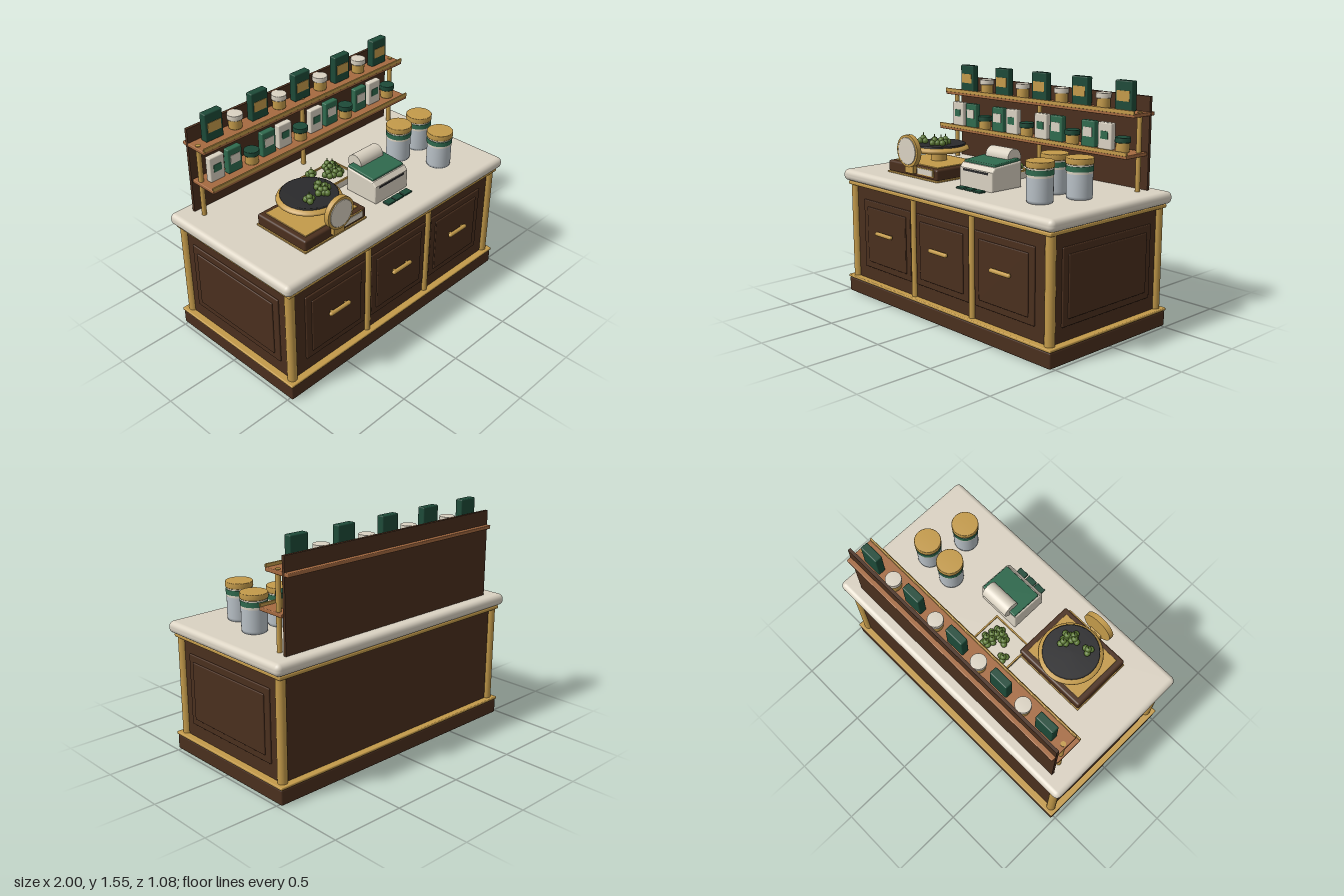
import * as THREE from 'three';
import { RoundedBoxGeometry } from 'three/addons/geometries/RoundedBoxGeometry.js';

const mat = (name, color) => Object.assign(new THREE.MeshStandardMaterial({ color }), { name });
const M = {
  wood: mat('dark wood', 0x4a2f1e),
  copper: mat('shelf wood', 0xa56a40),
  gold: mat('brass', 0xc39a4a),
  cream: mat('cream', 0xdad2c2),
  darkGreen: mat('dark green', 0x1d4a38),
  green: mat('green', 0x2f6a4e),
  silver: mat('silver', 0xb8c0c6),
  black: mat('charcoal', 0x2a2a2c),
  hop: mat('hop green', 0x5d7a34),
};

function add(parent, name, geo, material, x = 0, y = 0, z = 0) {
  const m = new THREE.Mesh(geo, material);
  m.name = name;
  m.position.set(x, y, z);
  parent.add(m);
  return m;
}
// box given by its bottom height, optionally rounded
function box(p, name, m, w, h, d, x, y, z, r = 0) {
  const g = r ? new RoundedBoxGeometry(w, h, d, 3, r) : new THREE.BoxGeometry(w, h, d);
  return add(p, name, g, m, x, y + h / 2, z);
}
// upright cylinder given by its bottom height
const rod = (p, name, m, r, h, x, y, z) =>
  add(p, name, new THREE.CylinderGeometry(r, r, h, 24), m, x, y + h / 2, z);
// turned drum with softly shaded rim
function drum(p, name, m, r, h, x, y, z) {
  const pts = [[0, 0], [r * 0.97, 0], [r, h * 0.1], [r, h * 0.9], [r * 0.96, h], [0, h]];
  return add(p, name, new THREE.LatheGeometry(pts.map(a => new THREE.Vector2(...a)), 32), m, x, y, z);
}
function group(p, name, x = 0, y = 0, z = 0) {
  const g = new THREE.Group();
  g.name = name;
  g.position.set(x, y, z);
  p.add(g);
  return g;
}

// stepped panel facing +z
function panel(p, name, w, h) {
  const g = group(p, name);
  add(g, 'outerPanel', new RoundedBoxGeometry(w, h, 0.024, 2, 0.006), M.wood);
  add(g, 'innerPanel', new RoundedBoxGeometry(w - 0.09, h - 0.09, 0.04, 2, 0.006), M.wood);
  return g;
}

// a small hop cone made of overlapping lobes
function hop(p, x, y, z, turn) {
  const g = group(p, 'hop', x, y, z);
  g.rotation.y = turn;
  const lobe = new THREE.SphereGeometry(0.021, 10, 8);
  for (let i = 0; i < 3; i++) {
    const a = i * Math.PI * 2 / 3;
    add(g, 'lobe', lobe, M.hop, Math.cos(a) * 0.02, 0.02, Math.sin(a) * 0.02);
  }
  add(g, 'lobe', lobe, M.hop, 0, 0.038, 0);
  add(g, 'stem', new THREE.CylinderGeometry(0.003, 0.004, 0.02, 6), M.hop, 0, 0.065, 0);
}

function buildCounter(root) {
  const c = group(root, 'counter');
  box(c, 'plinth', M.wood, 1.96, 0.1, 1.05, 0, 0, 0, 0.01);
  box(c, 'lowerTrim', M.gold, 1.97, 0.018, 1.06, 0, 0.101, 0, 0.006);
  box(c, 'body', M.wood, 1.88, 0.66, 0.97, 0, 0.115, 0);
  box(c, 'upperTrim', M.gold, 1.938, 0.025, 1.035, 0, 0.77, 0, 0.008);
  box(c, 'worktop', M.cream, 2, 0.078, 1.084, 0, 0.797, 0, 0.034);
  for (const x of [-0.932, 0.932])
    for (const z of [-0.478, 0.478]) rod(c, 'cornerPost', M.gold, 0.031, 0.66, x, 0.115, z);
  for (const x of [-0.283, 0.283]) rod(c, 'divider', M.gold, 0.022, 0.66, x, 0.115, 0.485);
  // drawers with bar handles
  for (const x of [-0.566, 0, 0.566]) {
    panel(c, 'drawer', 0.51, 0.475).position.set(x, 0.446, 0.483);
    const h = add(c, 'handle', new THREE.CapsuleGeometry(0.014, 0.15, 6, 16), M.gold, x, 0.477, 0.524);
    h.rotation.z = Math.PI / 2;
    for (const s of [-0.06, 0.06]) box(c, 'handleMount', M.gold, 0.015, 0.015, 0.03, x + s, 0.47, 0.508);
  }
  // end panels
  for (const s of [-1, 1]) {
    const e = panel(c, 'endPanel', 0.785, 0.475);
    e.position.set(s * 0.938, 0.446, 0);
    e.rotation.y = s * Math.PI / 2;
  }
}

function jar(p, lid, x, y, z, h) {
  const g = group(p, 'jar', x, y, z);
  drum(g, 'jarBody', M.gold, 0.043, h * 0.7, 0, 0, 0);
  drum(g, 'jarLid', lid, 0.05, h * 0.36, 0, h * 0.64, 0);
}
function packet(p, m, label, w, h, d, x, y, z, lw, lh, ly) {
  const g = group(p, 'packet', x, y, z);
  box(g, 'packetBody', m, w, h, d, 0, 0, 0, 0.008);
  box(g, 'packetLabel', label, lw, lh, 0.006, 0, ly, d / 2);
}

function buildShelves(root) {
  const s = group(root, 'shelving');
  box(s, 'backBoard', M.wood, 1.745, 0.59, 0.02, 0, 0.868, -0.45);
  for (const [y, z] of [[1.093, -0.33], [1.338, -0.39]]) {
    box(s, 'shelf', M.copper, 1.745, 0.024, 0.2, 0, y, z, 0.005);
    box(s, 'shelfLip', M.gold, 1.745, 0.026, 0.012, 0, y + 0.018, z + 0.096, 0.004);
  }
  for (const x of [-0.848, 0, 0.848]) rod(s, 'shelfPost', M.gold, 0.016, 0.497, x, 0.87, -0.375);
  // upper row: tall tins and pale-lidded jars
  for (let i = 0; i < 9; i++) {
    const x = -0.724 + i * 0.181;
    if (i % 2) jar(s, M.cream, x, 1.362, -0.393, 0.098);
    else packet(s, M.darkGreen, M.gold, 0.134, 0.187, 0.052, x, 1.362, -0.39, 0.1, 0.065, 0.06);
  }
  // lower row: packets and green-lidded jars
  [...'WGJGWJWGJGWJ'].forEach((t, i) => {
    const x = -0.766 + i * 0.1392;
    if (t === 'J') jar(s, M.darkGreen, x, 1.117, -0.323, 0.094);
    else {
      const pale = t === 'W';
      packet(s, pale ? M.cream : M.green, pale ? M.green : M.cream, 0.112, 0.168, 0.045,
        x, 1.117, -0.333, pale ? 0.06 : 0.075, pale ? 0.05 : 0.06, 0.065);
    }
  });
}

function buildScale(root) {
  const g = group(root, 'weighingScale', -0.44, 0.875, 0.16);
  box(g, 'scaleFoot', M.gold, 0.524, 0.012, 0.43, 0, 0, 0, 0.004);
  box(g, 'scaleBase', M.wood, 0.515, 0.075, 0.42, 0, 0.008, 0, 0.014);
  box(g, 'scaleTopTrim', M.gold, 0.44, 0.01, 0.35, 0, 0.08, 0, 0.004);
  rod(g, 'scaleNeck', M.gold, 0.055, 0.08, 0, 0.085, -0.02);
  // weighing pan
  const pan = [[0, 0.14], [0.11, 0.145], [0.19, 0.158], [0.205, 0.168], [0.2, 0.18], [0.17, 0.2], [0, 0.2]];
  add(g, 'pan', new THREE.LatheGeometry(pan.map(a => new THREE.Vector2(...a)), 48), M.gold, 0, 0, -0.02);
  drum(g, 'panLiner', M.black, 0.18, 0.03, 0, 0.175, -0.02);
  [[-0.07, 0.055], [0.075, -0.015], [0.055, 0.06], [0.085, 0.03], [0.035, 0.045]].forEach(([x, z], i) =>
    hop(g, x, 0.2, z, i * 1.3));
  // dial
  const dial = group(g, 'dial', 0, 0.18, 0.232);
  dial.rotation.x = Math.PI / 2;
  add(dial, 'dialCase', new THREE.CylinderGeometry(0.107, 0.107, 0.034, 40), M.gold);
  drum(dial, 'dialFace', M.cream, 0.09, 0.008, 0, 0.014, 0);
  box(g, 'dialBracket', M.gold, 0.09, 0.09, 0.03, 0, 0.03, 0.222, 0.005);
  // display plate
  box(g, 'displayFrame', M.gold, 0.17, 0.05, 0.008, 0.14, 0.03, 0.211);
  box(g, 'displayPlate', M.cream, 0.155, 0.038, 0.008, 0.14, 0.036, 0.214);
}

function buildTray(root) {
  const g = group(root, 'hopTray', -0.055, 0.873, -0.085);
  box(g, 'trayBody', M.cream, 0.29, 0.05, 0.21, 0, 0, 0, 0.008);
  for (const s of [-1, 1]) {
    box(g, 'trayRim', M.gold, 0.302, 0.012, 0.01, 0, 0.048, s * 0.104);
    box(g, 'trayRim', M.gold, 0.01, 0.012, 0.21, s * 0.146, 0.048, 0);
  }
  [[-0.085, -0.07], [0.065, -0.075], [0.085, -0.05], [0.05, -0.035], [0.075, -0.01],
    [-0.01, 0.01], [0.03, 0.035], [0.06, 0.04], [0.055, 0.01]].forEach(([x, z], i) =>
    hop(g, x, 0.05, z, i * 0.9));
}

function buildPrinter(root) {
  const g = group(root, 'receiptPrinter', 0.12, 0.875, 0.185);
  // wedge-shaped housing, extruded sideways
  const s = new THREE.Shape();
  s.moveTo(0.115, 0.01).lineTo(0.115, 0.12).lineTo(0.095, 0.142).lineTo(-0.115, 0.158).lineTo(-0.115, 0.01);
  const geo = new THREE.ExtrudeGeometry(s, {
    depth: 0.285, bevelEnabled: true, bevelSize: 0.01, bevelThickness: 0.01, bevelSegments: 3,
  });
  geo.translate(0, 0, -0.1425).rotateY(-Math.PI / 2);
  geo.scale(1, 1, 1);
  add(g, 'housing', geo, M.cream);
  const lid = box(g, 'printerLid', M.green, 0.285, 0.02, 0.215, 0, 0.155, -0.015, 0.006);
  lid.rotation.x = 0.076;
  const roll = add(g, 'paperRoll', new THREE.CylinderGeometry(0.057, 0.057, 0.205, 32), M.cream, 0.004, 0.183, -0.107);
  roll.rotation.z = Math.PI / 2;
  box(g, 'paperSlot', M.black, 0.23, 0.014, 0.006, 0, 0.104, 0.124);
  // loose tags in front
  for (const x of [-0.072, 0.004, 0.083]) box(g, 'tag', M.darkGreen, 0.07, 0.012, 0.052, x, 0, 0.172, 0.004);
}

function buildCanisters(root) {
  for (const [x, z] of [[0.515, 0.015], [0.72, 0.015], [0.637, 0.267]]) {
    const g = group(root, 'canister', x, 0.874, z);
    drum(g, 'canisterBody', M.silver, 0.081, 0.19, 0, 0, 0);
    rod(g, 'collar', M.cream, 0.082, 0.06, 0, 0.155, 0);
    rod(g, 'band', M.green, 0.085, 0.032, 0, 0.17, 0);
    drum(g, 'canisterLid', M.gold, 0.087, 0.038, 0, 0.212, 0);
  }
}

export function createModel() {
  const root = new THREE.Group();
  root.name = 'shopCounter';
  [buildCounter, buildShelves, buildScale, buildTray, buildPrinter, buildCanisters].forEach(f => f(root));
  return root;
}
